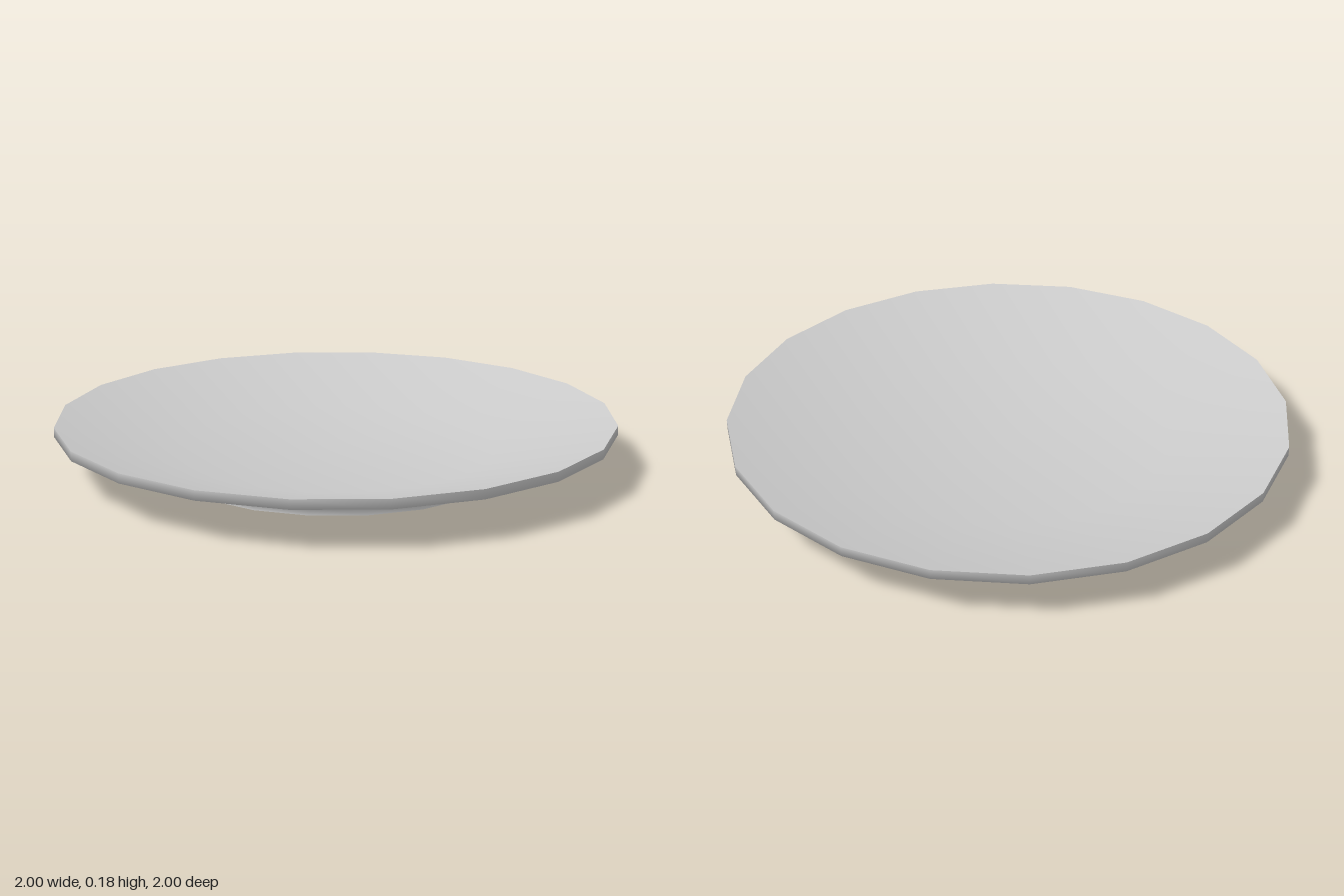
import * as THREE from 'three';
import { toCreasedNormals } from 'three/addons/utils/BufferGeometryUtils.js';

const SIDES = 20;
const RIM_Y = 0.177, FOOT_R = 0.618, FOOT_INNER_R = 0.598, BASE_Y = 0.014;
const CREASE = THREE.MathUtils.degToRad(80);

export function createModel() {
  const plate = new THREE.Group();
  plate.name = 'plate';
  const material = new THREE.MeshStandardMaterial({ color: 0xcccccc });

  // Turns a [radius, height] profile; only near-square corners stay sharp
  const turn = (name, profile) => {
    const points = profile.map(([r, y]) => new THREE.Vector2(r, y));
    const geometry = toCreasedNormals(new THREE.LatheGeometry(points, SIDES), CREASE);
    const mesh = new THREE.Mesh(geometry, material);
    mesh.name = name;
    plate.add(mesh);
  };

  // Slightly recessed base inside a narrow foot ring
  turn('base', [[0, BASE_Y], [FOOT_INNER_R, BASE_Y], [FOOT_INNER_R, 0], [FOOT_R, 0]]);

  // Foot wall, sloping flank and upright rim
  turn('underside', [[FOOT_R, 0], [FOOT_R, 0.03], [1, 0.143], [1, RIM_Y]]);

  // Shallow dish, from the rim down to the flat middle
  turn('dish', [[1, RIM_Y], [0.57, 0.063], [0, 0.063]]);

  return plate;
}
